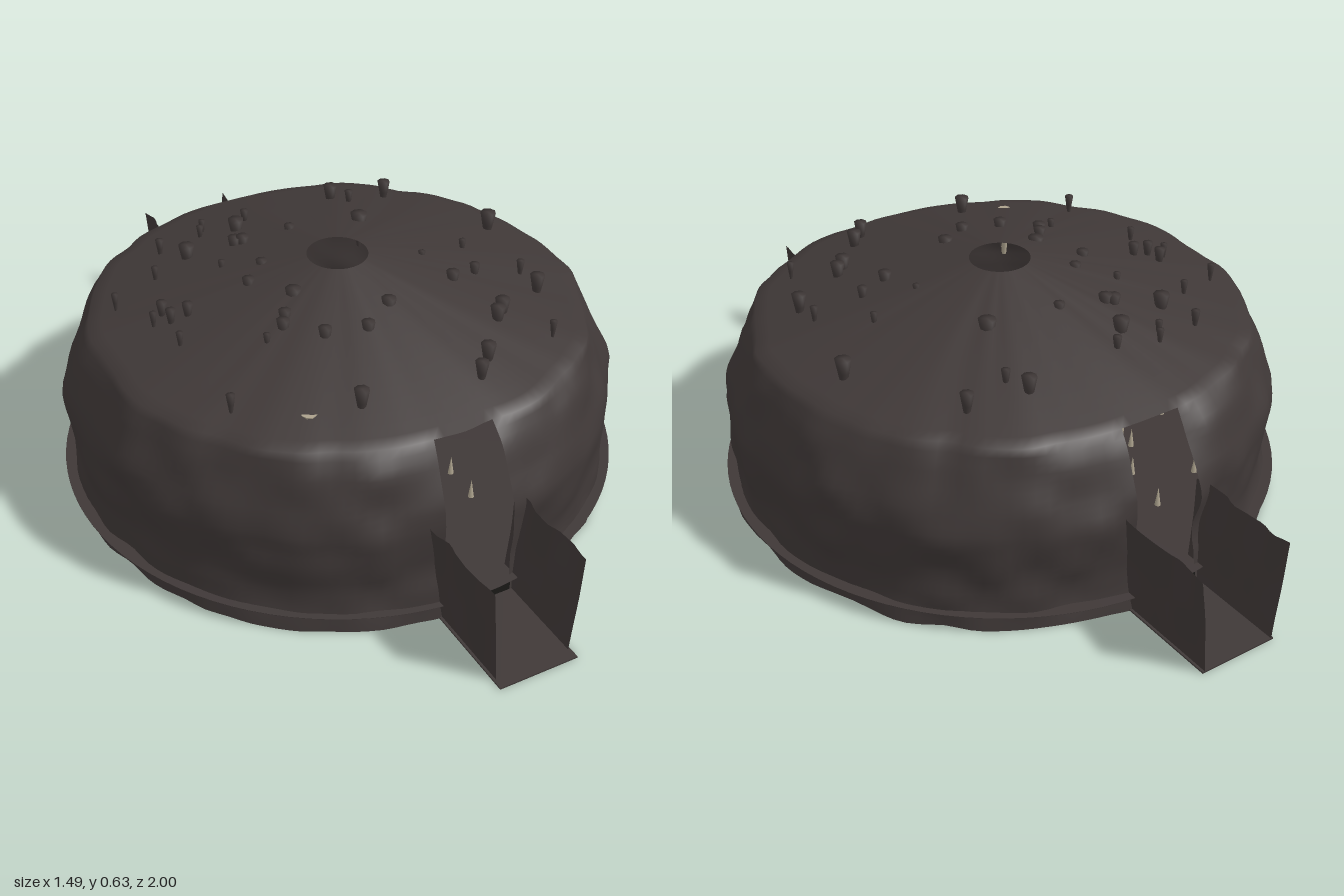
import * as THREE from 'three';

const makeMaterial = (name, color) => {
  const material = new THREE.MeshStandardMaterial({ color, side: THREE.DoubleSide });
  material.name = name;
  return material;
};
const rock = makeMaterial('brown rock', 0x3f3837);
const under = makeMaterial('dark floor rock', 0x36332d);
const dark = makeMaterial('shadow rock', 0x1a1917);
const bone = makeMaterial('pale limestone', 0xaca28d);

const WALL_TOP = 0.475;
const RIM = 0.647;
const HOLE = 0.08;

// Rounded wall profile as [height, radius]
const profile = [[0, 0.728], [0.05, 0.72], [0.12, 0.716], [0.2, 0.724], [0.27, 0.728], [0.32, 0.718], [0.37, 0.698], [0.43, 0.674], [WALL_TOP, RIM]];

function baseRadius(y) {
  for (let i = 1; i < profile.length; i++) {
    const [y0, r0] = profile[i - 1], [y1, r1] = profile[i];
    if (y <= y1) return r0 + (r1 - r0) * (y - y0) / (y1 - y0);
  }
  return RIM;
}

// Smooth seeded noise between -1 and 1
function hash(x, y, z) {
  const s = Math.sin(x * 127.1 + y * 311.7 + z * 74.7) * 43758.5453;
  return s - Math.floor(s);
}
function noise(x, y, z) {
  const [ix, iy, iz] = [x, y, z].map(Math.floor);
  const [fx, fy, fz] = [x - ix, y - iy, z - iz].map(f => f * f * (3 - 2 * f));
  const mix = THREE.MathUtils.lerp;
  const edge = (j, k) => mix(hash(ix, iy + j, iz + k), hash(ix + 1, iy + j, iz + k), fx);
  return 2 * mix(mix(edge(0, 0), edge(1, 0), fy), mix(edge(0, 1), edge(1, 1), fy), fz) - 1;
}

// Rocky bulges of the wall, drawn in a little above the doorways
function lumps(a, y) {
  const x = Math.sin(a) * 0.7, z = Math.cos(a) * 0.7;
  return 0.009 * noise(x * 6 + 9, y * 6 + 4, z * 6 + 7) + 0.011 * noise(x * 12 + 30, y * 12 + 8, z * 12 + 21)
    - 0.018 * Math.cos(a) ** 16 * (y / WALL_TOP) ** 4;
}

const roofHeight = r => 0.63 - 0.155 * (r - HOLE) / (RIM - HOLE);

function add(parent, name, geometry, material) {
  const mesh = new THREE.Mesh(geometry, material);
  mesh.name = name;
  parent.add(mesh);
  return mesh;
}

// Moves every vertex by a rule and refreshes the normals
function reshape(geometry, rule) {
  const p = geometry.attributes.position;
  for (let i = 0; i < p.count; i++) {
    p.setXYZ(i, ...rule(p.getX(i), p.getY(i), p.getZ(i)));
  }
  geometry.computeVertexNormals();
  return geometry;
}

// Wall and roof as one rounded shell, with a doorway at front and back
function shellGeometry() {
  const cols = 144, rows = 40, roofRows = 16, doorCols = 3;
  const sheet = new THREE.PlaneGeometry(1, 1, cols, rows);
  const index = Array.from(sheet.index.array).filter((_, i) => {
    const quad = Math.floor(i / 6);
    const col = quad % cols, row = Math.floor(quad / cols);
    const fromDoor = Math.min(col, cols - 1 - col, Math.abs(col + 0.5 - cols / 2) - 0.5);
    return row < roofRows || fromDoor >= doorCols;
  });
  sheet.setIndex(index);
  const split = 1 - roofRows / rows;
  return reshape(sheet, (u, v) => {
    const a = (u + 0.5) * Math.PI * 2, t = v + 0.5;
    let r, y;
    if (t <= split) {
      y = WALL_TOP * t / split;
      r = Math.min(0.75, baseRadius(y) + lumps(a, y));
    } else {
      const s = (t - split) / (1 - split);
      const nominal = RIM + (HOLE - RIM) * s;
      y = roofHeight(nominal) + 0.002 * noise(Math.sin(a) * 9 + 5, 2, Math.cos(a) * 9 + 5) * 4 * s * (1 - s);
      r = nominal + lumps(a, WALL_TOP) * (1 - s) ** 2;
    }
    return [Math.sin(a) * r, y, Math.cos(a) * r];
  });
}

// Open trench outside a doorway: flat floor and two leaning walls
function passage(name, dir, floorEnd, wallEnd) {
  const group = new THREE.Group();
  group.name = name;
  const inner = 0.68;
  const floor = add(group, 'passageFloor', new THREE.BoxGeometry(0.22, 0.004, floorEnd - inner), rock);
  floor.position.set(0, 0.002, dir * (inner + floorEnd) / 2);
  for (const side of [-1, 1]) {
    const sheet = reshape(new THREE.PlaneGeometry(1, 1, 16, 8), (u, v) => {
      const t = v + 0.5;
      const z = inner + (u + 0.5) * (wallEnd - inner);
      const wobble = 0.008 * noise(z * 22, t * 2 + 5, side * 7 + dir * 3);
      return [side * (0.103 + 0.024 * t + wobble * t), t * 0.28, dir * z];
    });
    add(group, 'passageWall', sheet, rock);
  }
  // Dark step up to the chamber floor
  const step = add(group, 'threshold', new THREE.BoxGeometry(0.195, 0.046, 0.006), dark);
  step.position.set(0, 0.023, dir * 0.72);
  return group;
}

// Hanging rocks as [x, z, radius], their broad ends standing out of the roof
const rocks = [
  [-0.33, -0.4, 0.012], [-0.29, -0.31, 0.022], [-0.21, -0.4, 0.01], [-0.19, -0.43, 0.01], [-0.12, -0.36, 0.022],
  [-0.07, -0.41, 0.012], [0.21, -0.43, 0.02], [0.24, -0.375, 0.012], [0.365, -0.395, 0.018], [-0.4, -0.27, 0.01],
  [-0.535, -0.22, 0.01], [-0.25, -0.175, 0.01], [-0.17, -0.265, 0.018], [-0.15, -0.255, 0.018],
  [-0.02, -0.235, 0.015], [0.175, -0.2, 0.024], [0.53, -0.1, 0.022], [-0.49, -0.075, 0.01], [-0.455, -0.1, 0.015],
  [-0.45, -0.055, 0.014], [-0.405, -0.05, 0.015], [-0.47, 0.045, 0.01], [-0.235, -0.045, 0.017], [-0.17, -0.1, 0.016],
  [0.37, 0.02, 0.01], [0.225, 0.05, 0.01], [-0.165, 0.07, 0.022], [-0.22, 0.13, 0.017], [-0.24, 0.16, 0.018],
  [-0.295, 0.18, 0.01], [-0.165, 0.24, 0.018], [-0.06, 0.27, 0.018], [0.03, 0.215, 0.02], [0.25, 0.165, 0.018],
  [0.33, 0.145, 0.014], [0.465, 0.16, 0.011], [0.465, 0.24, 0.02], [-0.465, 0.325, 0.012], [0.31, 0.31, 0.02],
  [0.28, 0.335, 0.02], [0.39, 0.425, 0.01], [-0.19, 0.47, 0.02], [0.175, 0.455, 0.02], [0.125, 0.505, 0.018],
];

// Pale stalactites inside as [x, z, radius, tip height, top above roof]
const pale = [
  [0.035, -0.42, 0.032, 0.18, -0.012], [0.062, -0.34, 0.026, 0.27, -0.012], [0.03, -0.55, 0.02, 0.3, -0.01],
  [0.15, -0.55, 0.014, 0.32, -0.008], [-0.15, 0.55, 0.014, 0.32, -0.008], [-0.31, 0.43, 0.02, 0.36, -0.002],
  [0.3, -0.25, 0.03, 0.3, -0.012], [-0.3, -0.2, 0.03, 0.32, -0.012], [-0.32, 0.15, 0.03, 0.28, -0.012],
];

// Tapering stone with its broad end up and softly shaded
function stoneGeometry(r, length) {
  const points = [[0.2 * r, -length], [0.68 * r, -0.4 * length], [r, 0], [0, 0.001]];
  return new THREE.LatheGeometry(points.map(([x, y]) => new THREE.Vector2(x, y)), 8);
}

export function createModel() {
  const model = new THREE.Group();
  model.name = 'caveChamber';

  add(model, 'wallAndRoof', shellGeometry(), rock);

  // Thin floor disc with a darker underside
  const floor = add(model, 'floor', new THREE.CylinderGeometry(0.747, 0.747, 0.001, 96), [rock, rock, under]);
  floor.position.y = 0.049;

  model.add(passage('frontPassage', 1, 1, 0.97));
  model.add(passage('backPassage', -1, 1, 1));

  for (const [x, z, r] of rocks) {
    const stone = add(model, 'hangingRock', stoneGeometry(r, 0.03 + r * 3), rock);
    stone.position.set(x, 0.635 - 0.155 * Math.hypot(x, z) + 0.5 * (r - 0.015), z);
  }

  for (const [x, z, r, tip, rise] of pale) {
    const top = roofHeight(Math.hypot(x, z)) + rise;
    const spike = add(model, 'stalactite', new THREE.CylinderGeometry(r, r * 0.32, top - tip, 8), bone);
    spike.position.set(x, (top + tip) / 2, z);
  }

  // Small pale stumps around the chamber floor
  for (let i = 0; i < 26; i++) {
    const a = 0.4 + i * 2.4, r = 0.45 + 0.1 * Math.sin(i * 4.1);
    if (Math.abs(Math.sin(a) * r) < 0.12) continue;
    const stump = add(model, 'stalagmite', new THREE.ConeGeometry(0.009, 0.06, 7), bone);
    stump.position.set(Math.sin(a) * r, 0.075, Math.cos(a) * r);
  }
  return model;
}
